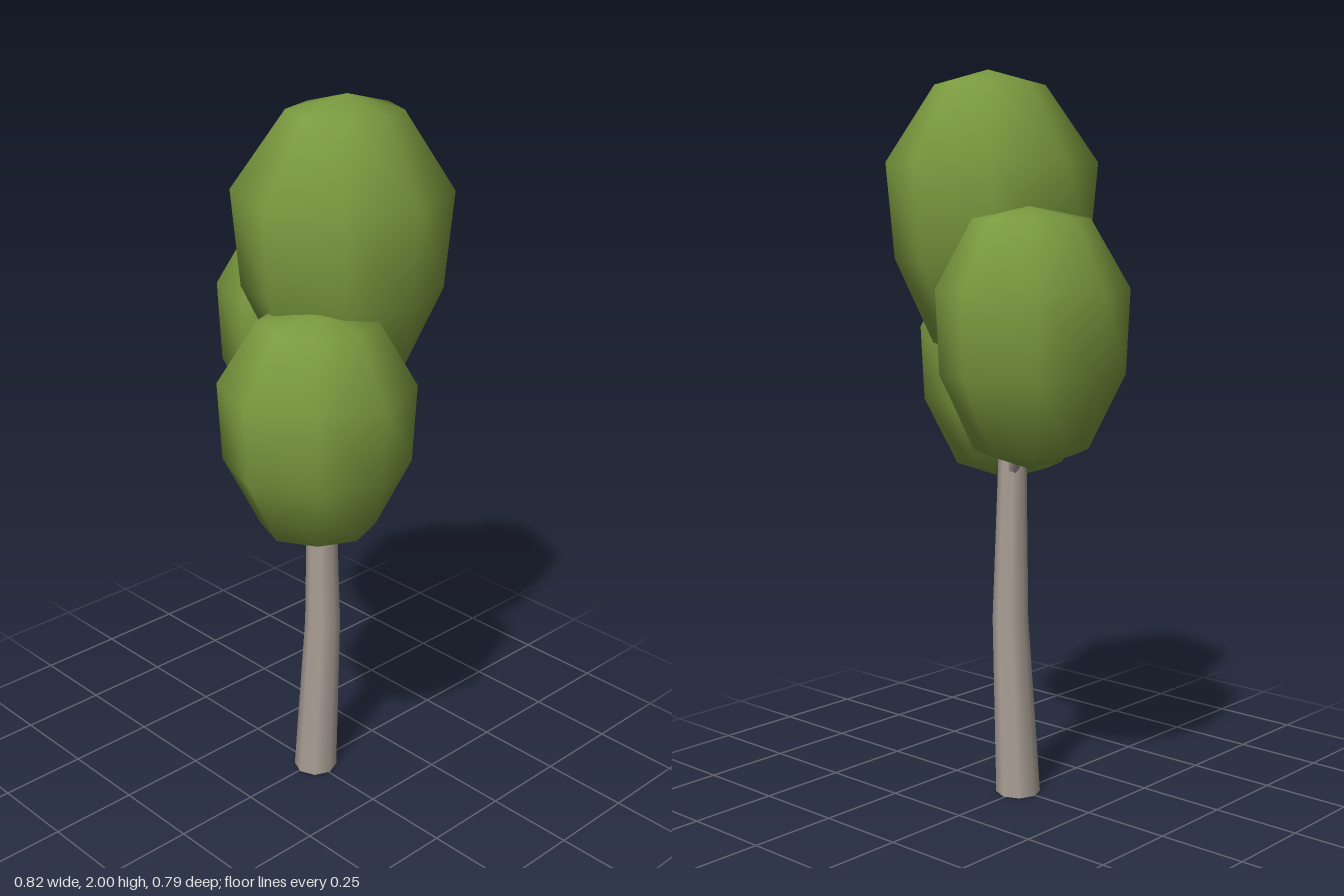
import * as THREE from 'three';
import { mergeVertices } from 'three/addons/utils/BufferGeometryUtils.js';

// Low-poly egg-shaped leaf clump: eight sides, smooth normals.
// radii: radius per 45 degree step from +x towards +z; rings: [height, width] from top to bottom
function clumpGeometry(radii, halfHeight, rings) {
  const geo = new THREE.SphereGeometry(1, 8, 5);
  const pos = geo.attributes.position;
  for (let i = 0; i < pos.count; i++) {
    const [h, w] = rings[Math.floor(i / 9)];
    const x = pos.getX(i), z = pos.getZ(i);
    const angle = Math.atan2(z, x);
    const r = w * radii[(Math.round(angle / (Math.PI / 4)) + 8) % 8];
    pos.setXYZ(i, w ? r * Math.cos(angle) : 0, h * halfHeight, w ? r * Math.sin(angle) : 0);
  }
  geo.deleteAttribute('uv');
  geo.deleteAttribute('normal');
  const welded = mergeVertices(geo, 1e-4);
  welded.computeVertexNormals();
  return welded;
}

// Trunk: a cylinder whose rings follow a gently bent centre line, given from top to bottom
function trunkGeometry(stations) {
  const geo = new THREE.CylinderGeometry(1, 1, 1, 8, stations.length - 1);
  const pos = geo.attributes.position;
  for (let i = 0; i < pos.count; i++) {
    const row = Math.round((0.5 - pos.getY(i)) * (stations.length - 1));
    const [cx, cy, cz, r] = stations[row];
    pos.setXYZ(i, cx + pos.getX(i) * r, cy, cz + pos.getZ(i) * r);
  }
  return geo;
}

export function createModel() {
  const group = new THREE.Group();
  const leaf = new THREE.MeshStandardMaterial({ color: 0x7b9a3f });
  leaf.name = 'leaf green';
  const bark = new THREE.MeshStandardMaterial({ color: 0xaca298 });
  bark.name = 'pale bark';

  const add = (name, geo, mat) => {
    const mesh = new THREE.Mesh(geo, mat);
    mesh.name = name;
    group.add(mesh);
    return mesh;
  };

  // Trunk
  add('trunk', trunkGeometry([
    [0.025, 1.3, -0.03, 0.03],
    [0.014, 0.95, -0.017, 0.039],
    [0.03, 0.5, -0.008, 0.05],
    [0.005, 0, -0.004, 0.062],
  ]), bark);

  // Branches reaching into the two lower clumps
  const branch = (name, from, to) => {
    const a = new THREE.Vector3(...from), b = new THREE.Vector3(...to);
    const dir = b.clone().sub(a);
    const mesh = add(name, new THREE.CylinderGeometry(0.012, 0.018, dir.length(), 6), bark);
    mesh.position.copy(a).addScaledVector(dir, 0.5);
    mesh.quaternion.setFromUnitVectors(new THREE.Vector3(0, 1, 0), dir.normalize());
  };
  branch('leftBranch', [0.015, 0.84, -0.01], [0.14, 1.03, 0.11]);
  branch('rightBranch', [0.015, 0.9, -0.02], [-0.14, 1.15, -0.13]);

  // Leaf clumps
  const lowerRings = [[1, 0], [0.91, 0.6], [0.38, 1], [-0.27, 0.96], [-0.85, 0.59], [-1, 0]];
  const crownRings = [[1, 0], [0.9, 0.52], [0.39, 1], [-0.25, 0.92], [-0.82, 0.55], [-1, 0]];
  const clumps = [
    ['topCrown', [0.08, 1.6, -0.04], 0.4, crownRings,
      [0.26, 0.255, 0.285, 0.297, 0.28, 0.273, 0.285, 0.276]],
    ['frontLeftCrown', [0.17, 1.18, 0.14], 0.32, lowerRings,
      [0.24, 0.23, 0.255, 0.262, 0.25, 0.25, 0.24, 0.25]],
    ['backRightCrown', [-0.16, 1.3, -0.145], 0.34, lowerRings,
      [0.24, 0.25, 0.255, 0.262, 0.25, 0.24, 0.255, 0.243]],
  ];
  for (const [name, centre, half, rings, radii] of clumps) {
    add(name, clumpGeometry(radii, half, rings), leaf).position.set(...centre);
  }
  return group;
}
